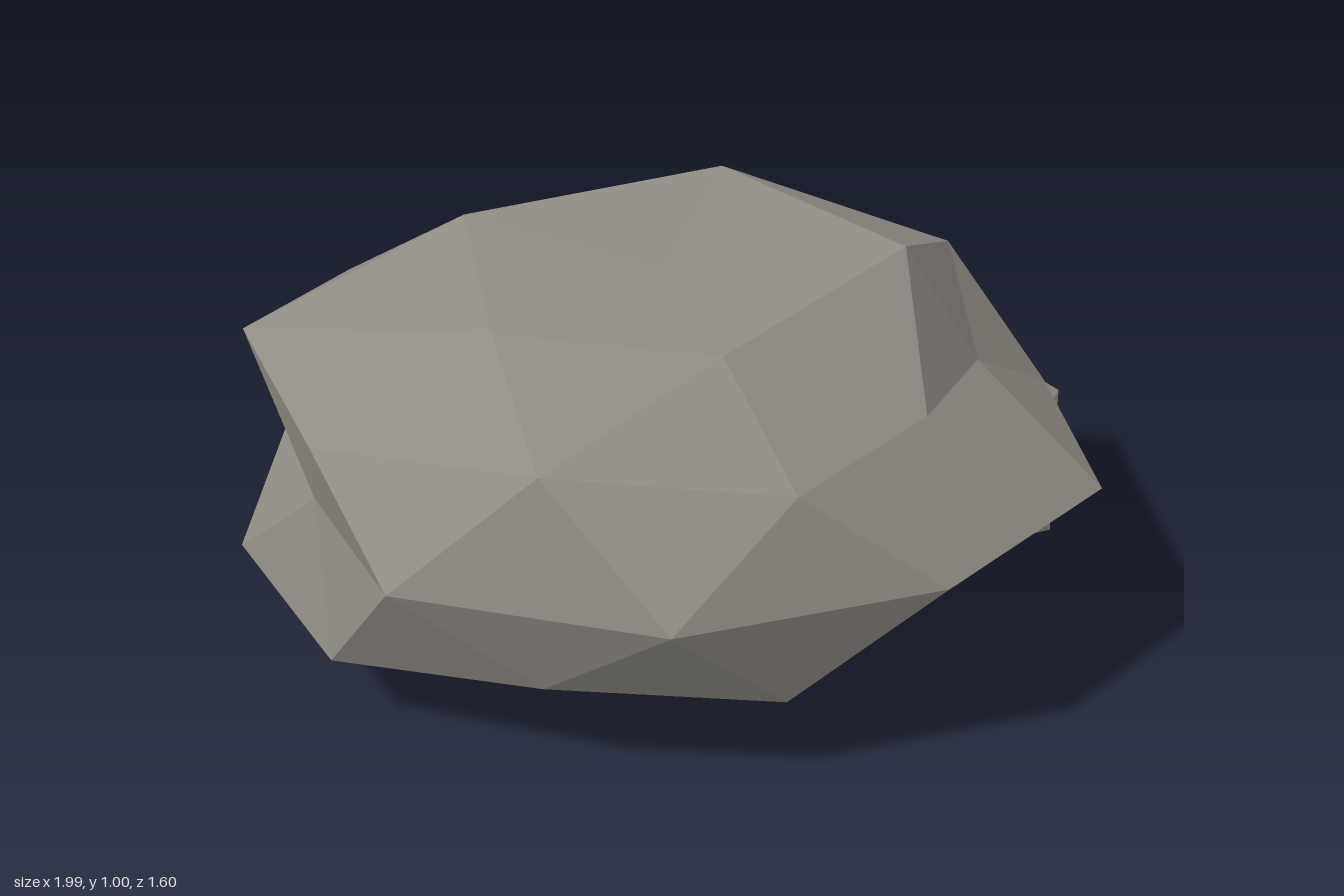
import * as THREE from 'three';

// Stitch horizontal loops (top to bottom, first and last are single points).
// Each loop runs from +x towards +z; starts[] is the angle of its first point in degrees.
function stitchRock(loops, starts) {
  const pos = [];
  const tri = (a, b, c) => pos.push(...a, ...b, ...c);
  for (let r = 0; r < loops.length - 1; r++) {
    const up = loops[r], low = loops[r + 1];
    const angle = (ring, start, k) => start + (360 / ring.length) * k;
    const at = (ring, k) => ring[(k + ring.length) % ring.length];
    if (up.length === 1) {
      low.forEach((p, k) => tri(up[0], at(low, k + 1), p));
    } else if (low.length === 1) {
      up.forEach((p, k) => tri(p, at(up, k + 1), low[0]));
    } else {
      // each edge of one loop joins the point of the other nearest its middle
      const nearest = (ring, start, mid) => at(ring, Math.round(((mid - start) / 360) * ring.length));
      const join = (ring, start, other, otherStart, flip) => ring.forEach((p, k) => {
        const tip = nearest(other, otherStart, angle(ring, start, k + 0.5));
        if (flip) tri(tip, at(ring, k + 1), p);
        else tri(p, at(ring, k + 1), tip);
      });
      join(up, starts[r], low, starts[r + 1], false);
      join(low, starts[r + 1], up, starts[r], true);
    }
  }
  const geo = new THREE.BufferGeometry();
  geo.setAttribute('position', new THREE.Float32BufferAttribute(pos, 3));
  geo.computeVertexNormals();
  return geo;
}

export function createModel() {
  const group = new THREE.Group();
  group.name = 'rocks';
  const stone = new THREE.MeshStandardMaterial({ color: 0x8f8b83 });
  stone.name = 'warm grey stone';
  stone.flatShading = true;

  // Large boulder: crown, shoulder, level waist, underside
  const crown = [[0.55, 0.99, -0.01], [0.12, 0.905, 0.33], [-0.38, 0.9, 0.2], [-0.45, 0.97, -0.25], [0.16, 1, -0.43]];
  const shoulder = [
    [0.73, 0.7, 0], [0.57, 0.74, 0.32], [0.26, 0.74, 0.64], [-0.28, 0.8, 0.64], [-0.77, 0.75, 0.42],
    [-0.95, 0.81, -0.01], [-0.74, 0.75, -0.41], [-0.25, 0.76, -0.57], [0.2, 0.69, -0.53], [0.71, 0.8, -0.41],
  ];
  const waist = [
    [0.99, 0.25], [0.59, 0.64], [-0.01, 0.8], [-0.61, 0.62], [-0.79, 0.23],
    [-0.87, -0.22], [-0.52, -0.55], [-0.01, -0.8], [0.52, -0.57], [0.94, -0.25],
  ].map(([x, z]) => [x, 0.5, z]);
  const belly = [
    [0.75, 0.3, 0], [0.6, 0.295, 0.34], [0.25, 0.21, 0.64], [-0.28, 0.26, 0.64], [-0.76, 0.19, 0.42],
    [-1, 0.23, 0], [-0.62, 0.25, -0.36], [-0.23, 0.4, -0.58], [0.25, 0.22, -0.54], [0.62, 0.29, -0.38],
  ];
  const base = [[0.37, 0.08, 0.2], [-0.15, 0.055, 0.37], [-0.54, 0.04, 0], [-0.15, 0.06, -0.39], [0.37, 0.05, -0.2]];
  const boulder = new THREE.Mesh(
    stitchRock([[[0, 0.95, 0]], crown, shoulder, waist, belly, base, [[-0.01, 0.03, 0]]], [0, 0, 0, 18, 0, 36, 0]),
    stone,
  );
  boulder.name = 'largeBoulder';
  group.add(boulder);

  // Small rock leaning against the back left
  const upper = [[0.99, 0.44, -0.3], [0.81, 0.37, 0.04], [0.3, 0.45, -0.06], [0.3, 0.45, -0.54], [0.75, 0.45, -0.645]];
  const lower = [[0.95, 0.18, -0.07], [0.49, 0.18, 0.09], [0.22, 0.18, -0.3], [0.51, 0.165, -0.71], [0.99, 0.165, -0.555]];
  const small = new THREE.Mesh(
    stitchRock([[[0.63, 0.65, -0.3]], upper, lower, [[0.64, 0, -0.3]]], [0, 0, 36, 0]),
    stone,
  );
  small.name = 'smallRock';
  group.add(small);

  return group;
}
